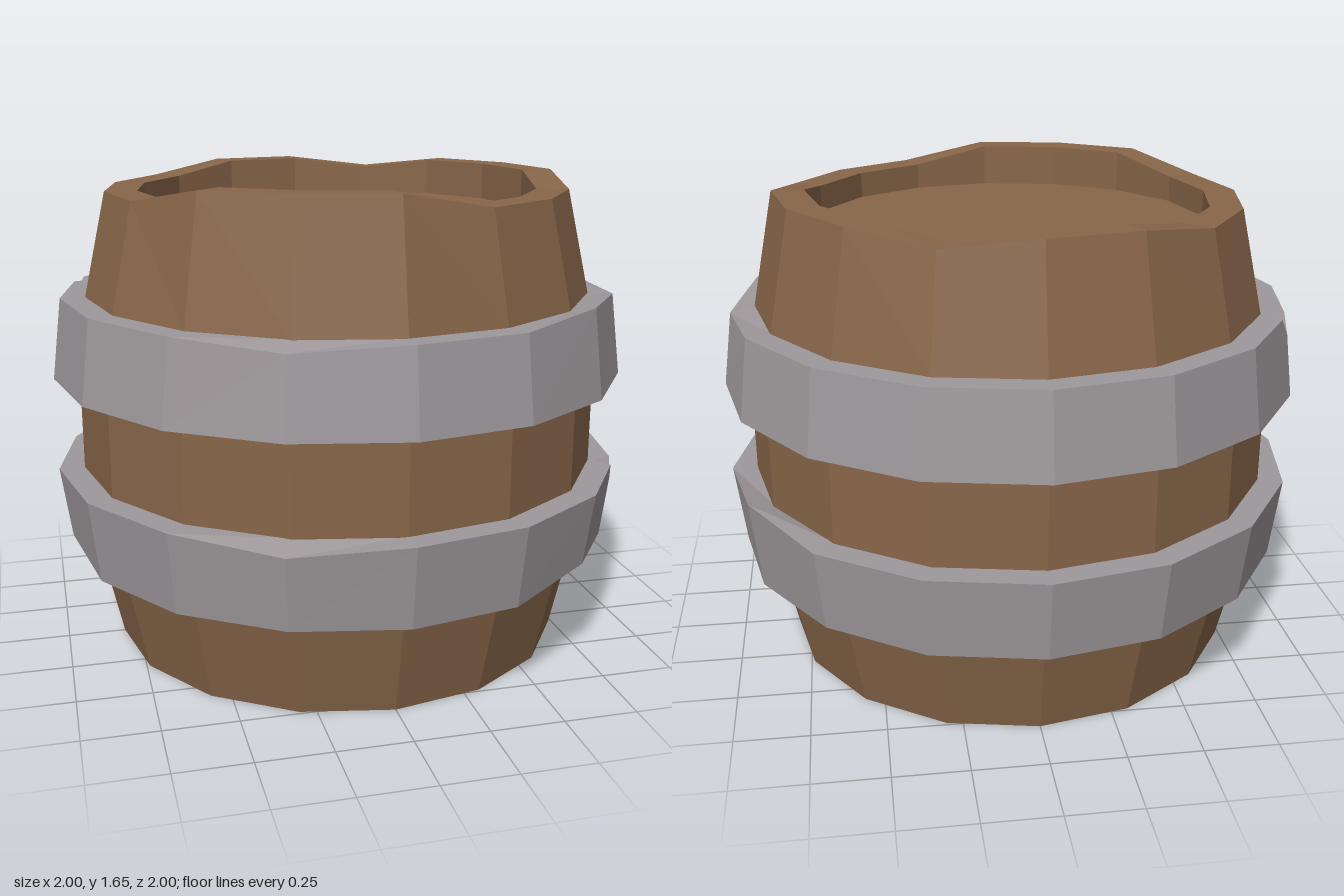
import * as THREE from 'three';

const SIDES = 16;
const wood = new THREE.MeshStandardMaterial({ color: 0x886649, flatShading: true });
const metal = new THREE.MeshStandardMaterial({ color: 0x9e989b, flatShading: true });

// Point on a ring; side 0 faces the front, counting towards +x
function ringPoint(i, r, y) {
  const a = (i / SIDES) * Math.PI * 2;
  return new THREE.Vector3(Math.sin(a) * r, y, Math.cos(a) * r);
}

// Staved body with recessed ends and a worn, uneven top rim
function makeBody() {
  const profile = [
    [0, 0.09], [0.69, 0.09], [0.69, 0], [0.8, 0], [0.88, 0.36], [0.912, 0.64],
    [0.912, 0.965], [0.88, 1.245], [0.8, 1.6], [0.69, 1.6], [0.69, 1.51], [0, 1.51],
  ].map(([r, y]) => new THREE.Vector2(r, y));
  const rimHeights = [
    1.655, 1.6, 1.6, 1.6, 1.64, 1.64, 1.64, 1.605,
    1.64, 1.64, 1.6, 1.6, 1.6, 1.6, 1.655, 1.655,
  ];
  const geo = new THREE.LatheGeometry(profile, SIDES);
  const pos = geo.attributes.position;
  for (let k = 0; k < pos.count; k++) {
    if (pos.getY(k) > 1.55) {
      pos.setY(k, rimHeights[Math.floor(k / profile.length) % SIDES]);
    }
  }
  const mesh = new THREE.Mesh(geo, wood);
  mesh.name = 'barrelBody';
  return mesh;
}

// Metal hoop: bottom and top are { y, outer, inner }; dents move single outer
// corners to a new height, and one top corner is chipped away
function makeHoop(name, bottom, top, topDents, bottomDents, chip) {
  const verts = [];
  const poly = (...p) => {
    for (let k = 1; k < p.length - 1; k++) {
      for (const v of [p[0], p[k], p[k + 1]]) verts.push(v.x, v.y, v.z);
    }
  };
  const T = [], B = [], topInner = [], bottomInner = [];
  for (let i = 0; i < SIDES; i++) {
    T.push(ringPoint(i, top.outer, topDents[i] ?? top.y));
    B.push(ringPoint(i, bottom.outer, bottomDents[i] ?? bottom.y));
    topInner.push(ringPoint(i, top.inner, top.y));
    bottomInner.push(ringPoint(i, bottom.inner, bottom.y));
  }

  // Corners of the chip
  const toward = (target, t) => T[chip].clone().lerp(target, t);
  const prev = toward(T[(chip + SIDES - 1) % SIDES], 0.13);
  const next = toward(T[(chip + 1) % SIDES], 0.13);
  const down = toward(B[chip], 0.23);
  const back = toward(topInner[chip], 0.7);
  poly(prev, down, back);
  poly(next, back, down);

  for (let i = 0; i < SIDES; i++) {
    const j = (i + 1) % SIDES;
    // Outer face, top edge, bottom edge
    poly(B[i], B[j],
      ...(j === chip ? [down, prev] : [T[j]]),
      ...(i === chip ? [next, down] : [T[i]]));
    poly(...(i === chip ? [back, next] : [T[i]]),
      ...(j === chip ? [prev, back] : [T[j]]),
      topInner[j], topInner[i]);
    poly(B[i], bottomInner[i], bottomInner[j], B[j]);
  }

  const geo = new THREE.BufferGeometry();
  geo.setAttribute('position', new THREE.Float32BufferAttribute(verts, 3));
  geo.computeVertexNormals();
  const mesh = new THREE.Mesh(geo, metal);
  mesh.name = name;
  return mesh;
}

export function createModel() {
  const group = new THREE.Group();
  group.name = 'barrel';
  group.add(
    makeBody(),
    makeHoop('lowerHoop',
      { y: 0.36, outer: 0.965, inner: 0.875 }, { y: 0.64, outer: 1, inner: 0.905 },
      { 15: 0.612, 5: 0.67 }, { 2: 0.39, 12: 0.39 }, 3),
    makeHoop('upperHoop',
      { y: 0.965, outer: 1, inner: 0.905 }, { y: 1.245, outer: 0.965, inner: 0.875 },
      { 15: 1.222, 2: 1.265, 4: 1.222 }, {}, 11),
  );
  return group;
}
